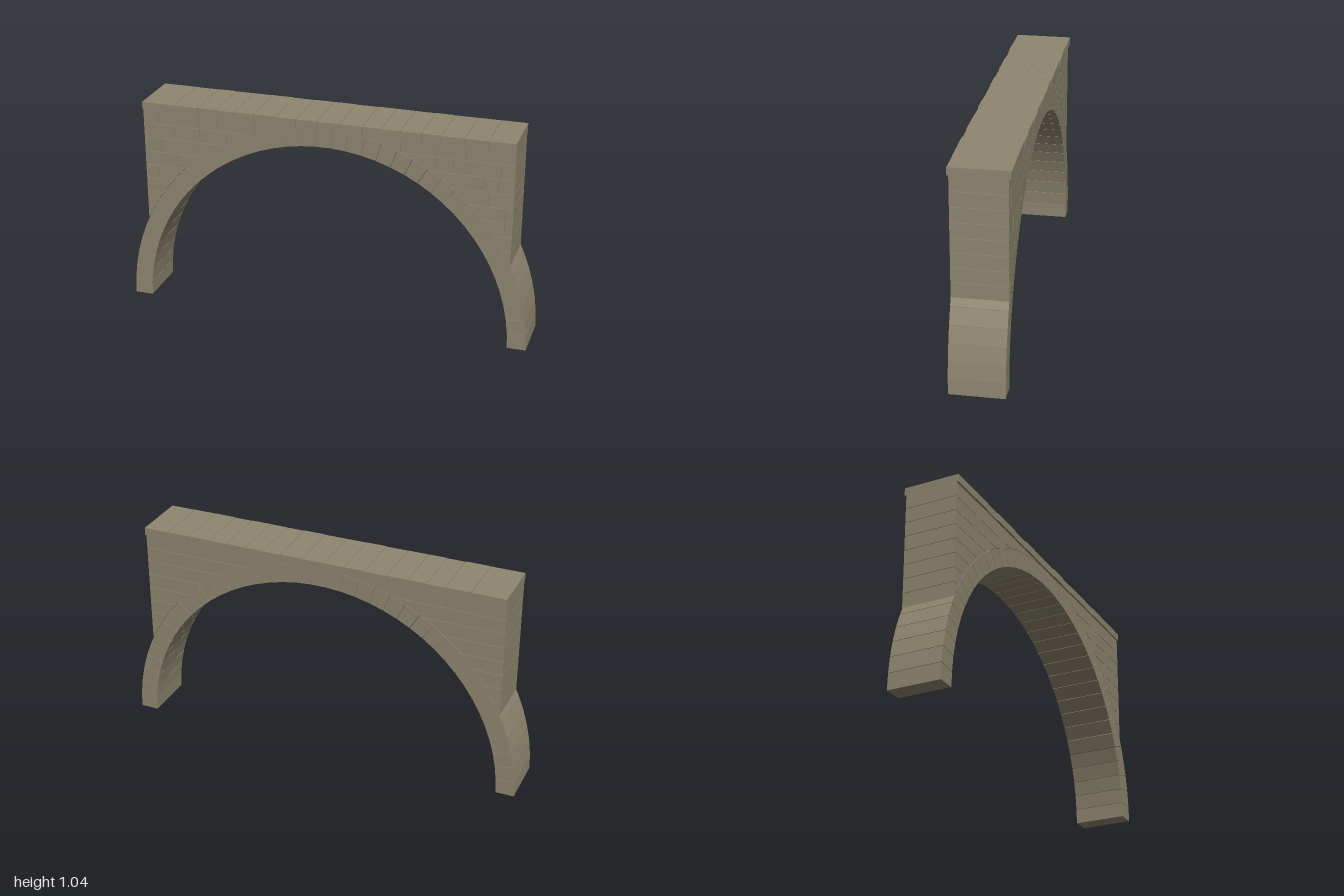
import * as THREE from 'three';

const INNER = 0.91, OUTER = 1.0;  // arch ring radii
const HALF = 0.905;               // half width of the wall
const DEPTH = 0.257;              // wall thickness
const GAP = 0.002;                // open joint between stones
const VOUSSOIRS = 39;
const COURSE = 1 / 14;            // wall course height

export function createModel() {
  const model = new THREE.Group();
  const stone = new THREE.MeshStandardMaterial({ color: 0x8f8670 });
  stone.name = 'sandstone';

  const addGroup = (name) => {
    const g = new THREE.Group();
    g.name = name;
    model.add(g);
    return g;
  };

  // Extrudes an outline through the wall thickness
  const addBlock = (parent, name, points) => {
    const geo = new THREE.ExtrudeGeometry(new THREE.Shape(points), { depth: DEPTH, bevelEnabled: false });
    geo.translate(0, 0, -DEPTH / 2);
    const mesh = new THREE.Mesh(geo, stone);
    mesh.name = name;
    parent.add(mesh);
  };

  // Arch ring of wedge stones
  const ring = addGroup('archRing');
  const polar = (r, a) => new THREE.Vector2(r * Math.cos(a), r * Math.sin(a));
  for (let i = 0; i < VOUSSOIRS; i++) {
    const trim = GAP / 2;
    const a0 = (i / VOUSSOIRS) * Math.PI + (i > 0 ? trim : 0);
    const a1 = ((i + 1) / VOUSSOIRS) * Math.PI - (i < VOUSSOIRS - 1 ? trim : 0);
    addBlock(ring, 'voussoir', [polar(INNER, a0), polar(OUTER, a0), polar(OUTER, a1), polar(INNER, a1)]);
  }

  // Wall courses above the ring, from the top down, with their upright joints
  const leftJoints = [
    [0.83, 0.62, 0.53, 0.34], [0.75, 0.62, 0.48], [0.82, 0.65], [0.74],
    [0.84], [0.83], [], [],
  ];
  const rightJoints = [
    [0.24, 0.37, 0.53, 0.68], [0.54, 0.62, 0.84], [0.76, 0.83], [0.79],
    [0.87], [0.87], [], [],
  ];
  const R = OUTER + 0.001;
  const ringY = (x) => Math.sqrt(Math.max(0, R * R - x * x));

  const buildSpandrel = (name, side, rows) => {
    const wall = addGroup(name);
    rows.forEach((joints, row) => {
      const y1 = 1 - row * COURSE - (row > 0 ? GAP / 2 : 0);
      const y0 = 1 - (row + 1) * COURSE + GAP / 2;
      const start = Math.sqrt(R * R - y1 * y1); // where the course meets the ring
      const cuts = [start, ...joints.filter((x) => x > start + 0.01).sort((a, b) => a - b), HALF];
      for (let i = 0; i < cuts.length - 1; i++) {
        const x0 = cuts[i] + (i > 0 ? GAP / 2 : 0);
        const x1 = cuts[i + 1] - (i < cuts.length - 2 ? GAP / 2 : 0);
        const points = [new THREE.Vector2(side * x1, y1)];
        if (i > 0) points.push(new THREE.Vector2(side * x0, y1));
        const steps = 10;
        for (let s = 0; s <= steps; s++) {
          const x = x0 + ((x1 - x0) * s) / steps;
          points.push(new THREE.Vector2(side * x, Math.min(y1, Math.max(y0, ringY(x)))));
        }
        addBlock(wall, 'wallStone', points);
      }
    });
  };
  buildSpandrel('rightSpandrel', -1, leftJoints);
  buildSpandrel('leftSpandrel', 1, rightJoints);

  // Overhanging coping stones, each set very slightly out of line
  const coping = addGroup('coping');
  const cuts = [-HALF, -0.74, -0.62, -0.53, -0.44, -0.34, -0.23, -0.13, -0.03,
    0.08, 0.19, 0.28, 0.37, 0.47, 0.56, 0.67, 0.78, HALF];
  for (let i = 0; i < cuts.length - 1; i++) {
    const x0 = cuts[i] + (i > 0 ? GAP / 2 : 0);
    const x1 = cuts[i + 1] - (i < cuts.length - 2 ? GAP / 2 : 0);
    const mesh = new THREE.Mesh(new THREE.BoxGeometry(x1 - x0, 0.038, 0.276), stone);
    mesh.name = 'copingStone';
    mesh.position.set((x0 + x1) / 2, 1.019, 0.002 * Math.sin(i * 2.3));
    coping.add(mesh);
  }

  return model;
}
